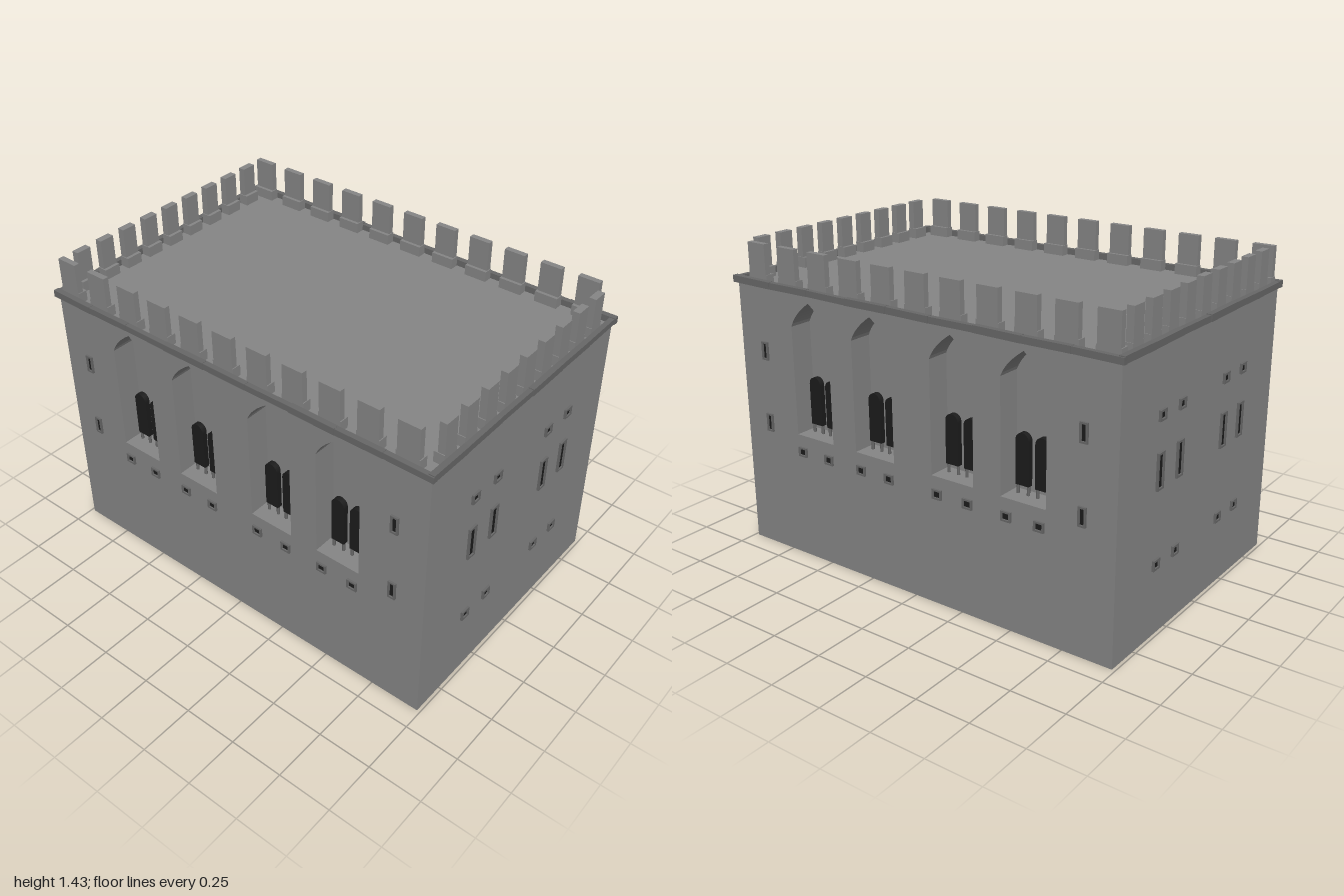
import * as THREE from 'three';

const W = 0.985, D = 0.655, H = 1.245;   // half width, half depth, wall height
const NICHE = 0.11;                      // depth of the arched niches
const stone = new THREE.MeshStandardMaterial({ color: 0x868686 });
const trim = new THREE.MeshStandardMaterial({ color: 0x686868 });
const dark = new THREE.MeshStandardMaterial({ color: 0x1c1c1c });

function add(parent, name, geometry, material, x = 0, y = 0, z = 0) {
  const m = new THREE.Mesh(geometry, material);
  m.name = name;
  m.position.set(x, y, z);
  parent.add(m);
  return m;
}

function rect(Type, w, h, y = 0) {
  const p = new Type();
  p.moveTo(-w / 2, y);
  p.lineTo(w / 2, y);
  p.lineTo(w / 2, y + h);
  p.lineTo(-w / 2, y + h);
  p.closePath();
  return p;
}

const extrude = (shape, depth) =>
  new THREE.ExtrudeGeometry(shape, { depth, bevelEnabled: false, curveSegments: 8 });

// Pointed arch outline for a niche
function pointedArch(cx) {
  const p = new THREE.Path(), w = 0.108;
  p.moveTo(cx - w, 0.59);
  p.lineTo(cx + w, 0.59);
  p.lineTo(cx + w, 1.09);
  p.quadraticCurveTo(cx + w * 0.8, 1.15, cx, 1.21);
  p.quadraticCurveTo(cx - w * 0.8, 1.15, cx - w, 1.09);
  p.closePath();
  return p;
}

// Small window: projecting frame around a dark pane
function framedWindow(parent, x, y, w, h, wall, rim) {
  const g = new THREE.Group();
  g.name = 'framedWindow';
  g.position.set(x, y - h / 2, wall);
  const frame = rect(THREE.Shape, w, h);
  frame.holes.push(rect(THREE.Path, w - 2 * rim, h - 2 * rim, rim));
  add(g, 'windowFrame', extrude(frame, 0.01), trim);
  add(g, 'windowPane', new THREE.PlaneGeometry(w - 2 * rim, h - 2 * rim), dark, 0, h / 2, 0.003);
  parent.add(g);
}

// Twin round-headed lights on little posts, standing inside a niche
function twinLights(parent, cx) {
  const g = new THREE.Group();
  g.name = 'twinLights';
  g.position.set(cx, 0, D - NICHE);
  for (const x of [-0.047, 0.047]) {
    const r = 0.032, s = new THREE.Shape();
    s.moveTo(-r, 0.63);
    s.lineTo(r, 0.63);
    s.lineTo(r, 0.82);
    s.absarc(0, 0.82, r, 0, Math.PI);
    s.closePath();
    add(g, 'roundHeadedLight', extrude(s, 0.025), dark, x, 0, 0.025);
    for (const side of [-0.025, 0.025])
      add(g, 'lightPost', new THREE.CylinderGeometry(0.007, 0.007, 0.044, 8), trim, x + side, 0.611, 0.04);
  }
  parent.add(g);
}

// Row of merlons, each a slim slab on a thicker foot, flush on the outside
function merlons(parent, centres, width, outer, thick, foot) {
  for (const x of centres) {
    const g = new THREE.Group();
    g.name = 'merlon';
    g.position.set(x, 0, outer);
    add(g, 'merlonFoot', new THREE.BoxGeometry(width + 0.008, 0.05, foot), stone, 0, 1.268, -foot / 2);
    add(g, 'merlonSlab', new THREE.BoxGeometry(width, 0.14, thick), stone, 0, 1.36, -thick / 2);
    parent.add(g);
  }
}

// Cornice of slightly uneven stones
function cornice(parent, half, outer, count) {
  const len = 2 * half / count;
  for (let i = 0; i < count; i++) {
    const dip = 0.0015 * (i % 3);
    const block = add(parent, 'corniceStone', new THREE.BoxGeometry(len, 0.031 - dip, 0.026 - dip), trim,
      -half + (i + 0.5) * len, 1.259 - dip / 2, outer - 0.013 - dip / 2);
    block.rotation.z = (i % 2 ? 1 : -1) * 0.008;
  }
}

// The merlon row is off-centre; shift is +1 or -1 so both long sides line up
function longSide(shift) {
  const g = new THREE.Group();
  g.name = 'longSide';
  const arches = [-0.561, -0.211, 0.209, 0.56];
  const wall = rect(THREE.Shape, 2 * W, H);
  arches.forEach(cx => wall.holes.push(pointedArch(cx)));
  add(g, 'nicheWall', extrude(wall, NICHE), stone, 0, 0, D - NICHE);
  for (const cx of arches) {
    twinLights(g, cx);
    for (const dx of [-0.079, 0.079]) framedWindow(g, cx + dx, 0.512, 0.048, 0.044, D, 0.008);
  }
  for (const x of [-0.84, 0.835])
    for (const y of [0.95, 0.61]) framedWindow(g, x, y, 0.036, 0.084, D, 0.008);
  merlons(g, Array.from({ length: 11 }, (_, i) => 0.179 * (i - 5) - 0.025 * shift), 0.1, 0.645, 0.027, 0.042);
  cornice(g, 1, 0.673, 9);
  return g;
}

function shortSide() {
  const g = new THREE.Group();
  g.name = 'shortSide';
  for (const x of [-0.347, -0.19, 0.19, 0.347]) {
    framedWindow(g, x, 0.96, 0.05, 0.046, W, 0.009);
    framedWindow(g, x, 0.728, 0.05, 0.158, W, 0.009);
    framedWindow(g, x, 0.325, 0.05, 0.046, W, 0.009);
  }
  merlons(g, Array.from({ length: 9 }, (_, i) => 0.132 * (i - 4)), 0.072, 0.973, 0.032, 0.047);
  cornice(g, 0.665, 1, 6);
  g.rotation.y = Math.PI / 2;
  return g;
}

export function createModel() {
  const model = new THREE.Group();
  model.name = 'castleHall';
  // Solid core whose faces close the niches and carry the roof deck
  add(model, 'hallCore', new THREE.BoxGeometry(2 * W, H, 2 * (D - NICHE)), stone, 0, H / 2, 0);
  // Opposite sides repeat by a half turn
  for (const shift of [1, -1]) {
    const half = new THREE.Group();
    half.name = shift > 0 ? 'frontHalf' : 'backHalf';
    half.add(longSide(shift), shortSide());
    half.rotation.y = shift > 0 ? 0 : Math.PI;
    model.add(half);
  }
  return model;
}
